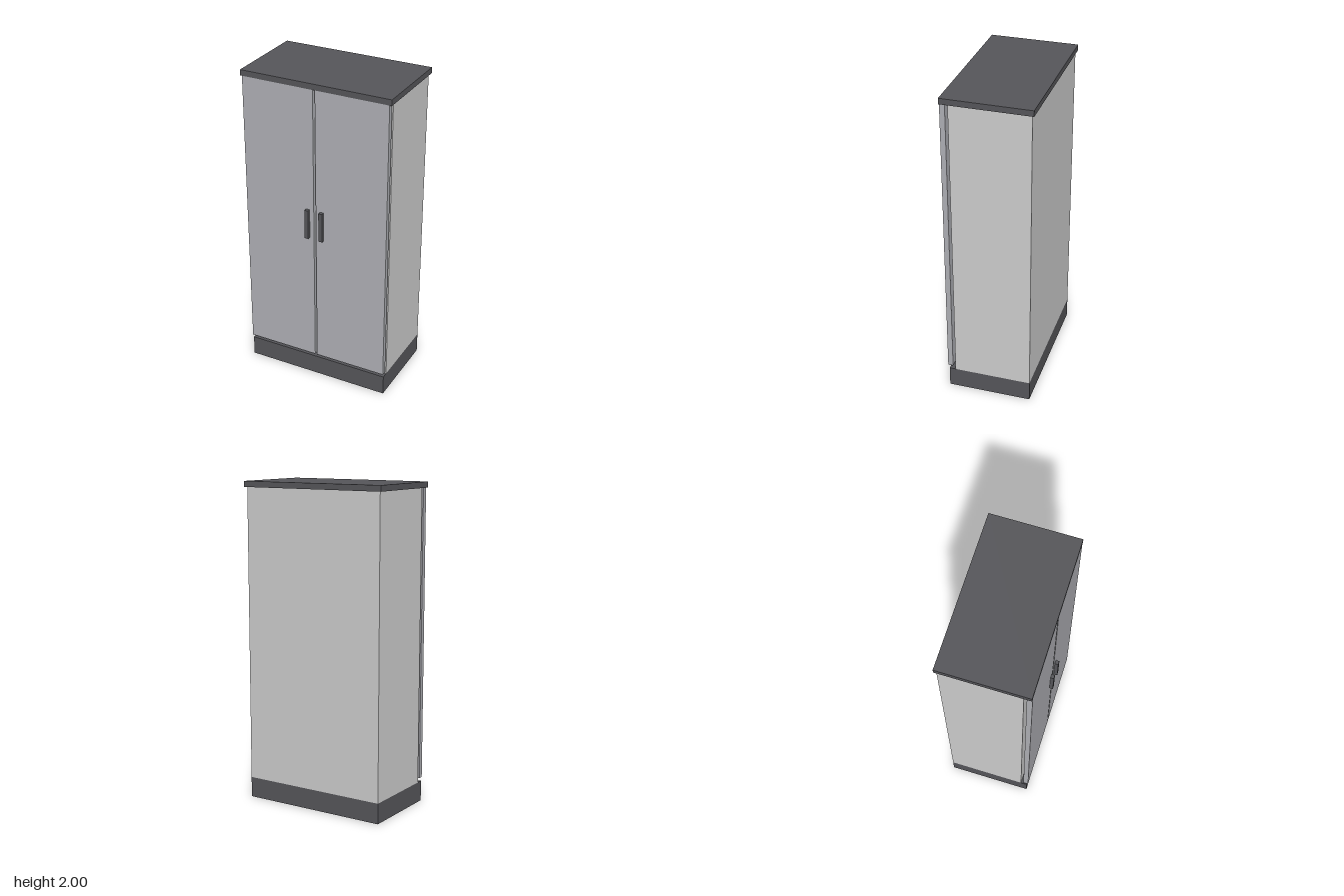
import * as THREE from 'three';

const grey = new THREE.MeshStandardMaterial({ color: 0xcccccc });
const doorGrey = new THREE.MeshStandardMaterial({ color: 0xadaeb3 });
const dark = new THREE.MeshStandardMaterial({ color: 0x555559 });

// Box given by its extents along each axis
function box(name, material, [x0, x1], [y0, y1], [z0, z1]) {
  const mesh = new THREE.Mesh(new THREE.BoxGeometry(x1 - x0, y1 - y0, z1 - z0), material);
  mesh.position.set((x0 + x1) / 2, (y0 + y1) / 2, (z0 + z1) / 2);
  mesh.name = name;
  return mesh;
}

export function createModel() {
  const cabinet = new THREE.Group();
  cabinet.name = 'cabinet';

  // Overhanging top slab
  cabinet.add(box('top', dark, [-0.484, 0.483], [1.964, 2], [-0.284, 0.262]));

  // Everything below the top shares one centre line
  const lower = new THREE.Group();
  lower.name = 'lowerCabinet';
  lower.position.x = -0.0015;
  cabinet.add(lower);

  // Plinth, carcass and thin front panel behind the doors
  lower.add(
    box('plinth', dark, [-0.471, 0.471], [0, 0.128], [-0.271, 0.253]),
    box('carcass', grey, [-0.471, 0.471], [0.128, 1.964], [-0.271, 0.204]),
    box('frontPanel', grey, [-0.471, 0.471], [0.128, 1.964], [0.204, 0.213])
  );

  // Pair of doors standing clear of the carcass, each with a bar handle
  for (const [side, s] of [['left', 1], ['right', -1]]) {
    const span = (a, b) => (s > 0 ? [a, b] : [-b, -a]);
    lower.add(
      box(side + 'Door', doorGrey, span(0.007, 0.471), [0.152, 1.964], [0.23, 0.262]),
      box(side + 'Handle', dark, span(0.035, 0.059), [1.004, 1.194], [0.262, 0.284])
    );
  }
  return cabinet;
}
